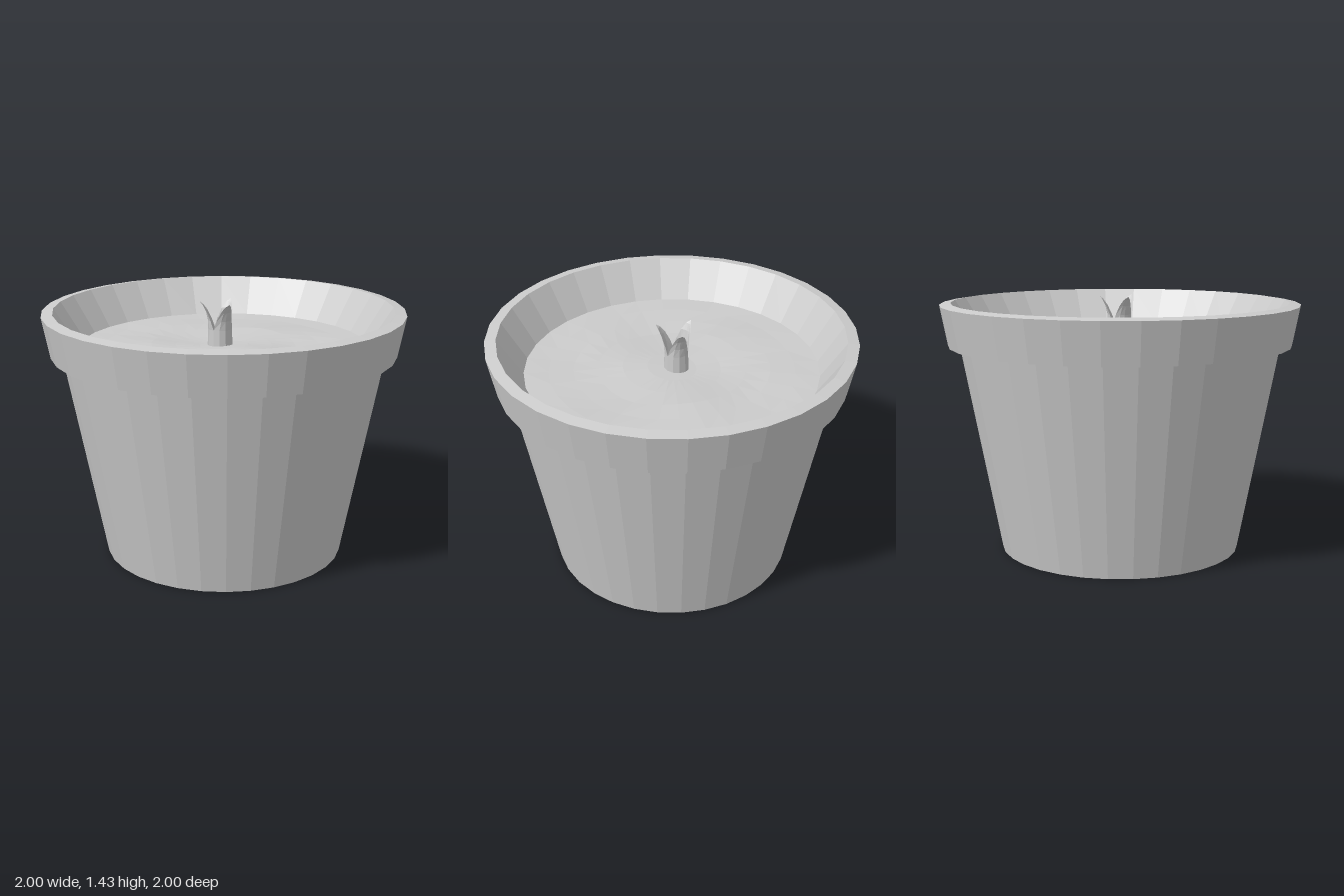
import * as THREE from 'three';

const SIDES = 32;
const SOIL_Y = 1.185;
const SOIL_R = 0.805;

const grey = (side = THREE.FrontSide) =>
  new THREE.MeshStandardMaterial({ color: 0xcccccc, flatShading: true, side });

function addMesh(parent, name, geometry, material) {
  const mesh = new THREE.Mesh(geometry, material);
  mesh.name = name;
  parent.add(mesh);
  return mesh;
}

// Tapered pot with an overhanging collar and a sloped inner wall
function potGeometry() {
  const profile = [
    [0, 0], [0.675, 0], [0.893, 1.158], [0.957, 1.158],
    [1, 1.384], [0.938, 1.394], [SOIL_R, SOIL_Y],
  ].map(([r, y]) => new THREE.Vector2(r, y));
  return new THREE.LatheGeometry(profile, SIDES);
}

// Soil disc, gently uneven inside and level where it meets the wall
function soilGeometry() {
  const geo = new THREE.RingGeometry(0, SOIL_R, SIDES, 6).rotateX(-Math.PI / 2);
  const pos = geo.attributes.position;
  for (let i = 0; i < pos.count; i++) {
    const x = pos.getX(i), z = pos.getZ(i);
    const fade = Math.max(0, 1 - Math.hypot(x, z) / SOIL_R);
    const bump = Math.sin(6 * x + 4 * z) * Math.cos(7 * z - 3 * x);
    pos.setY(i, SOIL_Y + 0.015 * Math.min(1, 2 * fade) * bump);
  }
  return geo;
}

// One third of the stem tube, narrowing into a pointed leaf that bends outward
function leafGeometry() {
  // height, radius, half angle as a share of 60 degrees
  const rows = [
    [-0.02, 0.07, 1], [0.09, 0.066, 1], [0.14, 0.068, 0.72],
    [0.19, 0.08, 0.42], [0.225, 0.097, 0.18], [0.243, 0.115, 0],
  ];
  const cols = 4, points = [], index = [];
  rows.forEach(([y, r, share], j) => {
    for (let i = 0; i <= cols; i++) {
      const a = (i / cols * 2 - 1) * share * Math.PI / 3;
      points.push(r * Math.sin(a), y, r * Math.cos(a));
      if (j && i) {
        const d = j * (cols + 1) + i, c = d - 1, b = d - cols - 1, e = b - 1;
        index.push(e, b, d);
        if (share > 0) index.push(e, d, c);
        else index.splice(-3, 3, e, b, c);
      }
    }
  });
  const geo = new THREE.BufferGeometry();
  geo.setAttribute('position', new THREE.Float32BufferAttribute(points, 3));
  geo.setIndex(index);
  geo.computeVertexNormals();
  return geo;
}

export function createModel() {
  const model = new THREE.Group();
  model.name = 'flowerPot';

  addMesh(model, 'pot', potGeometry(), grey());
  addMesh(model, 'soil', soilGeometry(), grey());

  // Sprout: three leaves, one pointing to the back
  const sprout = new THREE.Group();
  sprout.name = 'sprout';
  sprout.position.set(-0.025, SOIL_Y, 0);
  const leaf = leafGeometry();
  const leafMaterial = grey(THREE.DoubleSide);
  for (let k = 0; k < 3; k++) {
    addMesh(sprout, 'leaf', leaf, leafMaterial).rotation.y = Math.PI + k * Math.PI * 2 / 3;
  }
  model.add(sprout);

  return model;
}
